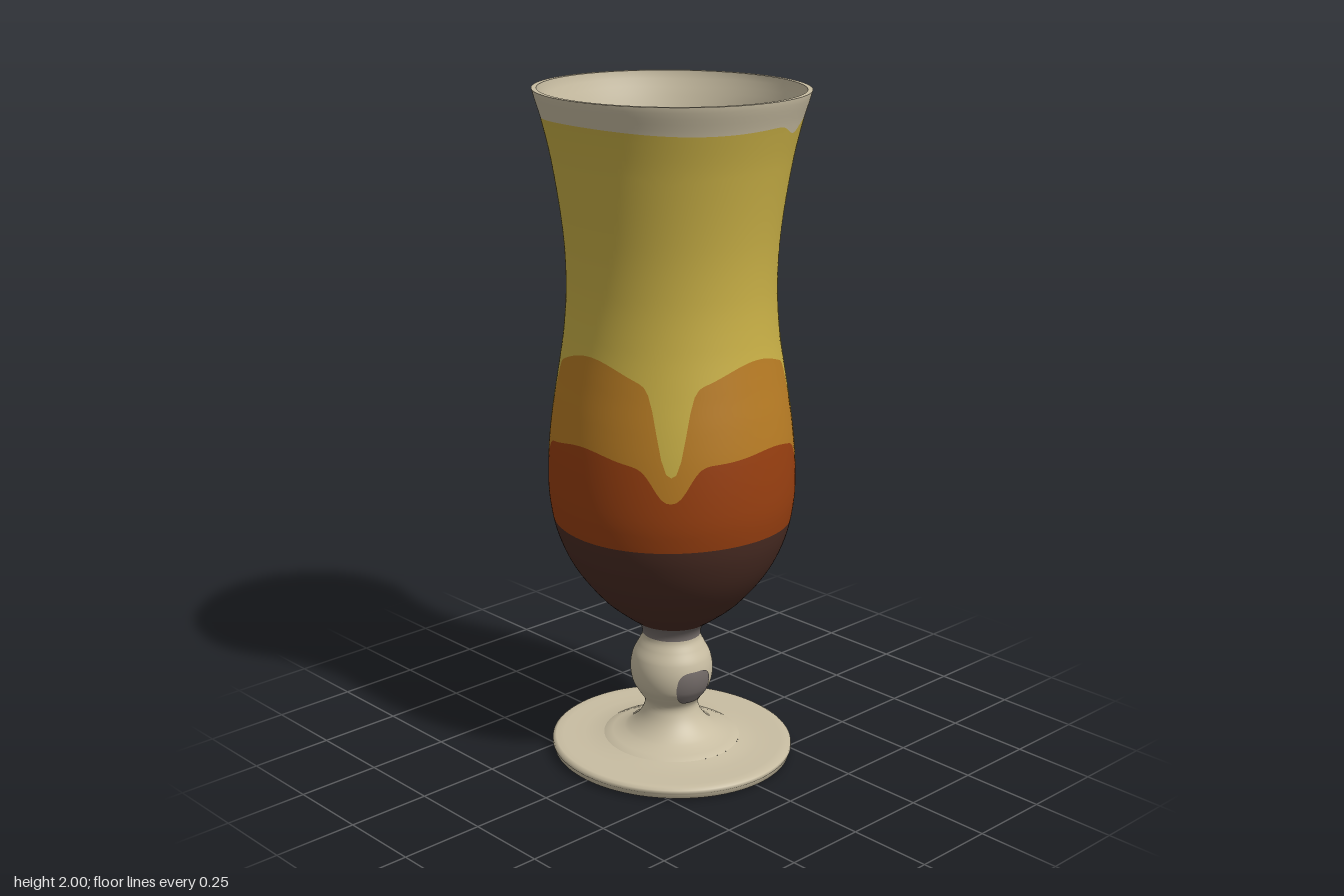
import * as THREE from 'three';

const mat = (name, color) => new THREE.MeshStandardMaterial({ name, color });

// Outline of stem and bowl as [height, radius]
const OUTLINE = [
  [0.045, 0.2], [0.055, 0.165], [0.07, 0.132], [0.1, 0.1], [0.135, 0.081], [0.16, 0.079], [0.19, 0.097],
  [0.22, 0.114], [0.265, 0.121], [0.31, 0.114], [0.345, 0.097], [0.37, 0.086], [0.395, 0.088],
  [0.42, 0.105], [0.45, 0.145], [0.5, 0.203], [0.6, 0.281], [0.7, 0.327], [0.8, 0.348],
  [0.88, 0.352], [1.0, 0.346], [1.1, 0.334], [1.2, 0.318], [1.32, 0.301], [1.45, 0.293],
  [1.6, 0.3], [1.8, 0.329], [1.92, 0.356], [1.98, 0.374], [2.0, 0.379],
];
const Z_STRETCH = 1.055;

// Smooth radius at a height (cubic interpolation of the outline)
function outer(y) {
  const n = OUTLINE.length;
  let i = 0;
  while (i < n - 2 && OUTLINE[i + 1][0] < y) i++;
  const slope = (k) => {
    const a = OUTLINE[Math.max(k - 1, 0)], b = OUTLINE[Math.min(k + 1, n - 1)];
    return (b[1] - a[1]) / (b[0] - a[0]);
  };
  const [y0, r0] = OUTLINE[i], [y1, r1] = OUTLINE[i + 1];
  const h = y1 - y0, t = THREE.MathUtils.clamp((y - y0) / h, 0, 1), t2 = t * t, t3 = t2 * t;
  return r0 * (2 * t3 - 3 * t2 + 1) + h * slope(i) * (t3 - 2 * t2 + t)
    + r1 * (3 * t2 - 2 * t3) + h * slope(i + 1) * (t3 - t2);
}
const inner = (y) => outer(y) - 0.028 + 0.014 * THREE.MathUtils.smoothstep(y, 1.6, 2);

// Band of the turned surface between two edges lo(angle) and hi(angle)
function band(radius, lo, hi, rows, { inside = false, from = 0, to = Math.PI * 2, cols = 160 } = {}) {
  const pos = [], nor = [], idx = [];
  const s = inside ? -1 : 1;
  for (let i = 0; i <= cols; i++) {
    const a = from + (to - from) * i / cols;
    for (let j = 0; j <= rows; j++) {
      const y = THREE.MathUtils.lerp(lo(a), hi(a), j / rows), r = radius(y);
      const dr = (radius(y + 0.002) - radius(y - 0.002)) / 0.004;
      pos.push(r * Math.sin(a), y, r * Math.cos(a) * Z_STRETCH);
      const v = new THREE.Vector3(Math.sin(a), -dr, Math.cos(a) / Z_STRETCH).normalize();
      nor.push(s * v.x, s * v.y, s * v.z);
      if (i < cols && j < rows) {
        const p = i * (rows + 1) + j, q = p + rows + 1;
        if (inside) idx.push(p, p + 1, q, q, p + 1, q + 1);
        else idx.push(p, q, p + 1, q, q + 1, p + 1);
      }
    }
  }
  const g = new THREE.BufferGeometry();
  g.setAttribute('position', new THREE.Float32BufferAttribute(pos, 3));
  g.setAttribute('normal', new THREE.Float32BufferAttribute(nor, 3));
  g.setIndex(idx);
  return g;
}

const at = (y) => () => y;
const angleGap = (a, b) => Math.atan2(Math.sin(a - b), Math.cos(a - b));
const bump = (a, centre, width, power = 2) => Math.exp(-Math.pow(Math.abs(angleGap(a, centre)) / width, power));
// Four drips, one on each diagonal
const drips = (a, width, power) => [1, 3, 5, 7].reduce((sum, k) => sum + bump(a, k * Math.PI / 4, width, power), 0);

// Wavy edges between the coloured layers
const darkTop = (a) => 0.757 + 0.006 * Math.cos(2 * a);
const rustTop = (a) => 1.015 + 0.012 * Math.cos(4 * a) + 0.005 * Math.sin(7 * a) - 0.1 * drips(a, 0.17, 2.5);
const amberTop = (a) => 1.25 + 0.025 * Math.cos(4 * a) + 0.01 * Math.sin(3 * a + 0.4) - 0.235 * drips(a, 0.14, 2.6);
const yellowTop = (a) => 1.925 + 0.006 * Math.sin(3 * a) - 0.03 * bump(a, 0.36, 0.13);
const innerGrey = (a) => 0.535 - 0.035 * Math.cos(a) + 0.008 * Math.sin(5 * a);
const innerDark = (a) => 0.757 - 0.17 * bump(a, 2.27, 0.33, 3);
const innerYellow = (a) => 1.75 + 0.035 * Math.cos(a) + 0.02 * Math.sin(5 * a) - 0.17 * bump(a, -2.3, 0.4);

export function createModel() {
  const cream = mat('cream', 0xc8bda2);
  const yellow = mat('yellow', 0xc9b046);
  const amber = mat('amber', 0xb87c24);
  const rust = mat('rust', 0x983f10);
  const dark = mat('dark brown', 0x4a2c23);
  const grey = mat('grey', 0x746c69);

  const model = new THREE.Group();
  model.name = 'layeredDrinkGlass';
  const add = (name, geometry, material, parent = model) => {
    const mesh = new THREE.Mesh(geometry, material);
    mesh.name = name;
    parent.add(mesh);
    return mesh;
  };

  // Foot: flat disc with a rounded edge
  const foot = new THREE.Group();
  foot.name = 'foot';
  foot.scale.z = Z_STRETCH;
  model.add(foot);
  const edge = [[0.338, 0], [0.349, 0.006], [0.346, 0.014], [0.354, 0.022], [0.353, 0.032],
    [0.343, 0.038], [0.32, 0.037], [0.26, 0.037], [0.225, 0.04], [0.2, 0.045]];
  add('footTop', new THREE.LatheGeometry(edge.map(([r, y]) => new THREE.Vector2(r, y)), 96), cream, foot);
  add('footUnderside', new THREE.CircleGeometry(0.338, 96).rotateX(Math.PI / 2), cream, foot);

  // Stem with its round knob, and the collar under the bowl
  add('stem', band(outer, at(0.045), at(0.378), 48, { cols: 80 }), cream);
  add('collar', band(outer, at(0.378), at(0.425), 8, { cols: 80 }), grey);

  // Thin patches on the stem
  const patch = (name, material, angle, halfAngle, y, halfHeight, lift) => {
    const h = (a) => halfHeight * Math.sqrt(Math.max(0, 1 - Math.pow((a - angle) / halfAngle, 4)));
    add(name, band((v) => outer(v) + lift, (a) => y - h(a), (a) => y + h(a), 8,
      { from: angle - halfAngle, to: angle + halfAngle, cols: 24 }), material);
  };
  patch('knobPatch', grey, -0.17, 0.5, 0.235, 0.055, 0.003);
  patch('rearPatch', grey, 3.2, 0.3, 0.087, 0.017, 0.003);
  patch('rearPatchCentre', dark, 3.2, 0.13, 0.085, 0.007, 0.005);
  patch('rearKnobPatch', grey, 3.2, 0.25, 0.175, 0.01, 0.003);

  // Outside of the bowl, layer by layer
  add('darkLayer', band(outer, at(0.425), darkTop, 18), dark);
  add('rustLayer', band(outer, darkTop, rustTop, 10), rust);
  add('amberLayer', band(outer, rustTop, amberTop, 10), amber);
  add('yellowLayer', band(outer, amberTop, yellowTop, 28), yellow);
  add('outerRim', band(outer, yellowTop, at(2), 5), cream);

  // Rim lip joining outside and inside
  const lip = new THREE.RingGeometry(inner(2), outer(2), 160).rotateX(-Math.PI / 2);
  const lipMesh = add('rimLip', lip, cream);
  lipMesh.position.y = 2;
  lipMesh.scale.z = Z_STRETCH;

  // Inside of the bowl
  const inside = { inside: true };
  add('innerBottom', band(inner, at(0.44), innerGrey, 8, inside), grey);
  add('innerDarkLayer', band(inner, innerGrey, innerDark, 10, inside), dark);
  add('innerRustLayer', band(inner, innerDark, at(1.0), 10, inside), rust);
  add('innerAmberLayer', band(inner, at(1.0), at(1.24), 8, inside), amber);
  add('innerYellowLayer', band(inner, at(1.24), innerYellow, 16, inside), yellow);
  add('innerRim', band(inner, innerYellow, at(2), 12, inside), cream);
  const floor = add('innerFloor', new THREE.CircleGeometry(inner(0.44), 80).rotateX(-Math.PI / 2), grey);
  floor.position.y = 0.44;
  floor.scale.z = Z_STRETCH;

  return model;
}
